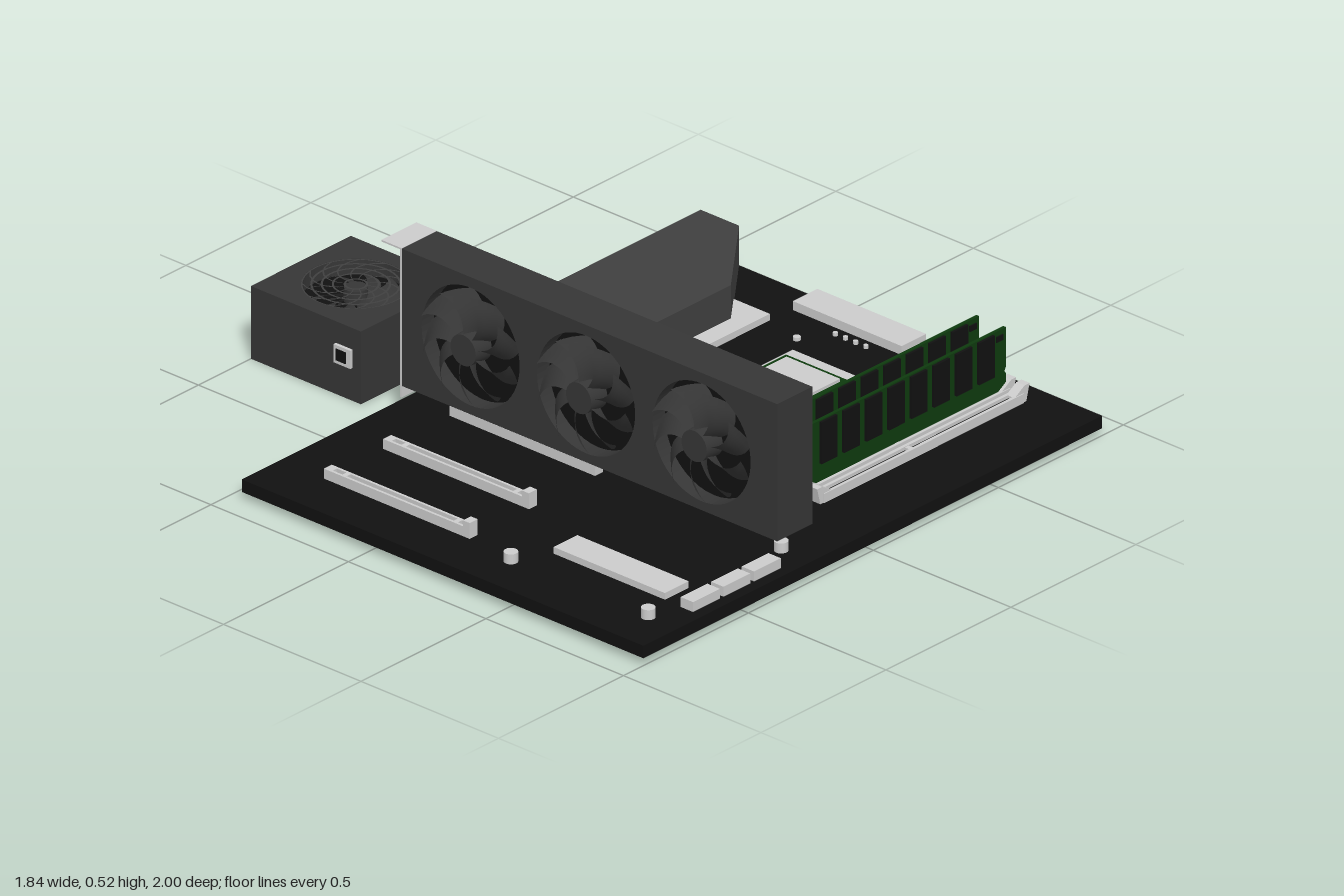
import * as THREE from 'three';

const mat = (color) => new THREE.MeshStandardMaterial({ color, side: THREE.DoubleSide });
const GREY = mat(0xcccccc), BLACK = mat(0x111111), DARK = mat(0x363636), LID = mat(0x404040), GREEN = mat(0x0e3a0e);

function add(parent, name, geo, material, x = 0, y = 0, z = 0) {
  const m = new THREE.Mesh(geo, material);
  m.name = name;
  m.position.set(x, y, z);
  parent.add(m);
  return m;
}

// box given by its extents
function box(parent, name, material, x0, x1, y0, y1, z0, z1) {
  return add(parent, name, new THREE.BoxGeometry(x1 - x0, y1 - y0, z1 - z0), material,
    (x0 + x1) / 2, (y0 + y1) / 2, (z0 + z1) / 2);
}

const poly = (pts) => new THREE.Shape(pts.map((p) => new THREE.Vector2(...p)));
const rect = (x0, x1, y0, y1) => poly([[x0, y0], [x1, y0], [x1, y1], [x0, y1]]);
const circle = (x, y, r) => new THREE.Path().absarc(x, y, r, 0, Math.PI * 2, true);

function plate(shape, holes, depth) {
  shape.holes.push(...holes);
  return new THREE.ExtrudeGeometry(shape, { depth, bevelEnabled: false, curveSegments: 32 });
}

// swept, pitched fan blade around the z axis
function bladeGeometry(r0, r1, width, sweep, pitch) {
  const g = new THREE.PlaneGeometry(1, 1, 8, 4);
  const p = g.attributes.position;
  for (let i = 0; i < p.count; i++) {
    const u = p.getX(i) + 0.5, v = p.getY(i);
    const r = r0 + (r1 - r0) * u, a = v * width + u * u * sweep;
    p.setXYZ(i, r * Math.cos(a), r * Math.sin(a), v * pitch);
  }
  g.computeVertexNormals();
  return g;
}

// fan facing +z, with its hub front at z = hubZ
function fan(name, r, hubR, hubZ, blades, pitch) {
  const g = new THREE.Group();
  g.name = name;
  const hub = add(g, 'fanHub', new THREE.CylinderGeometry(hubR * 0.92, hubR, 0.06, 32), DARK, 0, 0, hubZ - 0.03);
  hub.rotation.x = Math.PI / 2;
  const geo = bladeGeometry(hubR * 0.9, r, 0.5, 0.5, pitch);
  for (let i = 0; i < blades; i++) {
    add(g, 'fanBlade', geo, DARK, 0, 0, hubZ - 0.03).rotation.z = (i / blades) * Math.PI * 2;
  }
  return g;
}

function graphicsCard() {
  const g = new THREE.Group();
  g.name = 'graphicsCard';
  box(g, 'cardBody', DARK, -0.23, -0.14, 0.1, 0.515, -0.46, 0.905);
  const fans = [-0.21, 0.21, 0.63];
  // shroud with round fan openings, extruded towards -x
  const shroud = plate(rect(-0.46, 0.905, 0.1, 0.515), fans.map((z) => circle(z, 0.305, 0.178)), 0.05);
  add(g, 'fanShroud', shroud, DARK, -0.23).rotation.y = -Math.PI / 2;
  for (const z of fans) {
    const floor = add(g, 'fanWell', new THREE.CircleGeometry(0.178, 40), BLACK, -0.231, 0.305, z);
    floor.rotation.y = -Math.PI / 2;
    const f = fan('cardFan', 0.165, 0.05, 0.035, 9, 0.05);
    f.position.set(-0.275, 0.305, z);
    f.rotation.y = -Math.PI / 2;
    g.add(f);
  }
  box(g, 'edgeConnector', BLACK, -0.245, -0.235, 0.07, 0.1, -0.25, 0.2);
  // rear bracket with ports and vents
  const holes = [];
  for (let i = 0; i < 5; i++) holes.push(rect(-0.268, -0.225, 0.13 + i * 0.073, 0.185 + i * 0.073));
  for (let i = 0; i < 9; i++) holes.push(rect(-0.205, -0.155, 0.13 + i * 0.04, 0.155 + i * 0.04));
  add(g, 'rearBracket', plate(rect(-0.28, -0.14, 0.065, 0.515), holes, 0.006), GREY, 0, 0, -0.467);
  box(g, 'bracketTab', GREY, -0.28, -0.14, 0.511, 0.516, -0.535, -0.46);
  return g;
}

function powerSupply() {
  const g = new THREE.Group();
  g.name = 'powerSupply';
  box(g, 'supplyBody', DARK, -0.29, 0.11, 0, 0.17, -1, -0.6);
  const top = plate(rect(-0.29, 0.11, -1, -0.6), [circle(-0.09, -0.8, 0.148)], 0.05);
  add(g, 'supplyTop', top, DARK, 0, 0.22).rotation.x = Math.PI / 2;
  add(g, 'supplyFanWell', new THREE.CircleGeometry(0.148, 40), BLACK, -0.09, 0.172, -0.8).rotation.x = -Math.PI / 2;
  const f = fan('supplyFan', 0.135, 0.035, 0.0, 9, 0.02);
  // grille rings and swirling ribs
  for (const r of [0.03, 0.062, 0.092, 0.12, 0.147]) {
    add(f, 'grilleRing', new THREE.RingGeometry(r - 0.003, r + 0.003, 48), LID, 0, 0, 0.008);
  }
  const rib = bladeGeometry(0.025, 0.148, 0.06, -0.9, 0);
  for (let i = 0; i < 12; i++) add(f, 'grilleRib', rib, LID, 0, 0, 0.007).rotation.z = i * Math.PI / 6;
  f.position.set(-0.09, 0.211, -0.8);
  f.rotation.x = -Math.PI / 2;
  g.add(f);
  // mains inlet on the side
  box(g, 'powerInlet', GREY, -0.3, -0.29, 0.1, 0.155, -0.69, -0.63);
  box(g, 'inletOpening', BLACK, -0.302, -0.299, 0.11, 0.145, -0.682, -0.645);
  return g;
}

function memory(board) {
  [0.63, 0.679, 0.727, 0.776].forEach((z, i) => {
    const g = new THREE.Group();
    g.name = 'memorySlot';
    board.add(g);
    // slot rails leave a groove between them
    for (const s of [-1, 1]) box(g, 'slotRail', GREY, 0.03, 0.83, 0.06, 0.088, z + s * 0.013 - 0.005, z + s * 0.013 + 0.005);
    box(g, 'slotFloor', BLACK, 0.05, 0.81, 0.06, 0.078, z - 0.008, z + 0.008);
    box(g, 'slotKey', GREY, 0.38, 0.395, 0.06, 0.087, z - 0.008, z + 0.008);
    for (const s of [-1, 1]) {
      const latch = plate(poly([[0.365, 0], [0.412, 0], [0.425, 0.05], [0.405, 0.05], [0.365, 0.026]]), [], 0.03);
      const m = add(g, 'slotLatch', latch, GREY, 0.43, 0.06, z + s * 0.015);
      m.rotation.y = s < 0 ? 0 : Math.PI;
    }
    if (i % 2) return;
    const stick = new THREE.Group();
    stick.name = 'memoryStick';
    board.add(stick);
    const outline = poly([[0.04, 0.08], [0.825, 0.08], [0.825, 0.13], [0.819, 0.14], [0.825, 0.15],
      [0.825, 0.27], [0.04, 0.27], [0.04, 0.15], [0.046, 0.14], [0.04, 0.13]]);
    add(stick, 'stickBoard', plate(outline, [], 0.01), GREEN, 0, 0, z - 0.005);
    for (let k = 0; k < 8; k++) box(stick, 'memoryChip', BLACK, 0.08 + k * 0.09, 0.143 + k * 0.09, 0.14, 0.266, z + 0.004, z + 0.013);
    box(stick, 'controllerChip', BLACK, 0.785, 0.812, 0.238, 0.255, z + 0.004, z + 0.009);
  });
}

function expansionSlot(board, x) {
  const g = new THREE.Group();
  g.name = 'expansionSlot';
  board.add(g);
  const shape = rect(x - 0.016, x + 0.016, -0.3, 0.23);
  const holes = [rect(x - 0.008, x + 0.008, -0.275, -0.24), rect(x - 0.008, x + 0.008, -0.225, 0.165), rect(x - 0.008, x + 0.008, 0.18, 0.2)];
  add(g, 'slotBody', plate(shape, holes, 0.03), GREY, 0, 0.09).rotation.x = Math.PI / 2;
  box(g, 'slotClip', GREY, x - 0.016, x + 0.016, 0.09, 0.108, 0.205, 0.23);
}

export function createModel() {
  const model = new THREE.Group();
  model.name = 'computerParts';
  const board = new THREE.Group();
  board.name = 'mainboard';
  model.add(board, graphicsCard(), powerSupply());

  box(board, 'circuitBoard', BLACK, -0.92, 0.915, 0.022, 0.06, -0.46, 1);

  // rear port cover and heat sink below it
  const cover = poly([[0, -0.46], [0.915, -0.46], [0.915, -0.32], [0.64, -0.1], [0.12, -0.1], [0, -0.29]]);
  add(board, 'portCover', plate(cover, [], 0.12), LID, 0, 0.18).rotation.x = Math.PI / 2;
  box(board, 'heatSink', GREY, 0.08, 0.73, 0.06, 0.08, -0.17, -0.04);

  // processor
  box(board, 'processorSocket', GREY, 0.295, 0.615, 0.06, 0.08, 0.148, 0.41);
  box(board, 'processorBoard', GREEN, 0.342, 0.573, 0.08, 0.086, 0.162, 0.396);
  box(board, 'processorCap', GREY, 0.362, 0.552, 0.086, 0.095, 0.182, 0.377);

  memory(board);
  for (const x of [-0.752, -0.515, -0.25]) expansionSlot(board, x);

  // connector blocks
  box(board, 'sideConnector', GREY, 0.817, 0.915, 0.06, 0.087, 0.0 - 0.035, 0.36);
  box(board, 'driveSlot', GREY, -0.68, -0.585, 0.06, 0.08, 0.455, 0.86);
  for (let i = 0; i < 3; i++) box(board, 'frontConnector', GREY, -0.683 + i * 0.122, -0.576 + i * 0.122, 0.06, 0.09, 0.92, 0.965);

  // standoffs, cooler mounts and pins
  const peg = (name, x, z, r, h) => add(board, name, new THREE.CylinderGeometry(r, r, h, 20), GREY, x, 0.06 + h / 2, z);
  for (const [x, z] of [[-0.79, 0.4], [-0.785, 0.895], [-0.253, 0.895]]) peg('standoff', x, z, 0.02, 0.03);
  for (const x of [0.22, 0.695]) for (const z of [0.09, 0.485]) peg('coolerMount', x, z, 0.011, 0.01);
  for (let i = 0; i < 4; i++) peg('headerPin', 0.783, 0.15 + i * 0.037, 0.007, 0.01);
  return model;
}
